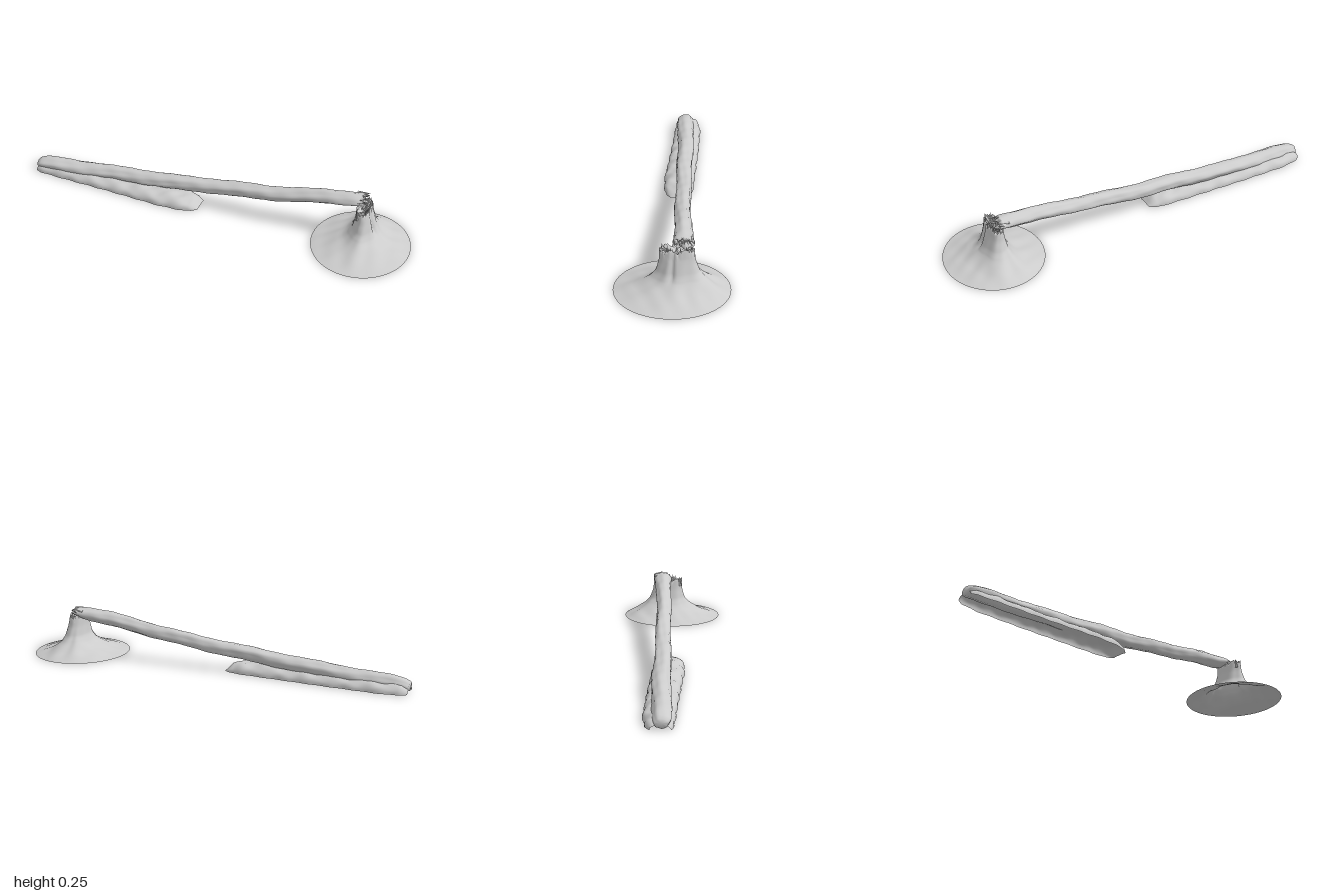
import * as THREE from 'three';

const material = new THREE.MeshStandardMaterial({ color: 0xcccccc, side: THREE.DoubleSide });

// Small seeded generator for the broken edges
function seeded(seed) {
  let s = seed;
  return () => ((s = (s * 16807) % 2147483647) / 2147483647);
}

// Linear lookup of a row in a table sorted by its first column
function sample(rows, t) {
  let i = 0;
  while (i < rows.length - 2 && t > rows[i + 1][0]) i++;
  const k = THREE.MathUtils.clamp((t - rows[i][0]) / (rows[i + 1][0] - rows[i][0]), 0, 1);
  return rows[i].map((v, j) => v + (rows[i + 1][j] - v) * k);
}

// Skin a grid of points: point(i, j) for rows 0..n, closed around m columns when wrapped
function loft(name, n, m, point, wrap = true) {
  const pos = [], index = [], cols = wrap ? m : m + 1;
  for (let i = 0; i <= n; i++) for (let j = 0; j < cols; j++) pos.push(...point(i, j));
  for (let i = 0; i < n; i++) for (let j = 0; j < m; j++) {
    const a = i * cols + j, b = i * cols + ((j + 1) % cols), c = a + cols, d = b + cols;
    index.push(a, c, b, b, c, d);
  }
  const g = new THREE.BufferGeometry();
  g.setAttribute('position', new THREE.Float32BufferAttribute(pos, 3));
  g.setIndex(index);
  g.computeVertexNormals();
  const mesh = new THREE.Mesh(g, material);
  mesh.name = name;
  return mesh;
}

// Rooted stump: height, left x, right x, front z, back z
function stump() {
  const rows = [
    [0, 0.515, 0.995, 0.262, -0.262], [0.012, 0.56, 0.95, 0.215, -0.24],
    [0.03, 0.62, 0.90, 0.165, -0.208], [0.05, 0.66, 0.86, 0.122, -0.178],
    [0.07, 0.685, 0.835, 0.094, -0.15], [0.1, 0.706, 0.818, 0.07, -0.124],
    [0.15, 0.716, 0.802, 0.056, -0.106], [0.2, 0.72, 0.786, 0.053, -0.101],
  ];
  const n = 26, m = 72, rim = 22, rnd = seeded(41);
  const jag = Array.from({ length: m }, () => rnd() * 0.022 - 0.006);
  return loft('stump', n, m, (i, j) => {
    const a = -(j / m) * Math.PI * 2, c = Math.cos(a), s = Math.sin(a);
    const t = Math.min(i / rim, 1), h = 0.2 * Math.pow(t, 1.35);
    const r = sample(rows, h);
    const cx = 0.757, cz = -0.025 * Math.min(h / 0.05, 1);
    // Root flutes, and a deep split on the side away from the trunk
    const flute = Math.sin(a * 5 + 0.7) * 0.05 + Math.sin(a * 9 + h * 30) * 0.03;
    const fade = Math.min(t * 2.5, 1) * (1 - 0.6 * t);
    const split = 0.22 * Math.exp(-(((a + 6.0) / 0.13) ** 2)) * THREE.MathUtils.smoothstep(h, 0.05, 0.1);
    const inward = i > rim ? 1 - (i - rim) / (n - rim) : 1;
    const k = (1 + flute * fade - split) * inward;
    const x = cx + c * k * (c > 0 ? r[2] - cx : cx - r[1]);
    const z = cz + s * k * (s > 0 ? r[3] - cz : cz - r[4]);
    const lump = Math.sin(x * 47 + z * 30) * Math.sin(z * 41 - x * 13) * 0.005 * Math.min(t * 4, 1) * (1 - t);
    const y = i > rim ? 0.2 - (1 - inward) * 0.03 + jag[(j * 5) % m] * 0.5
      : h + lump + (i >= rim - 1 ? jag[j] : 0);
    return [x, Math.max(0, y), z];
  });
}

// Fallen trunk: x, centre y, centre z, half height, half depth
function trunk() {
  const rows = [
    [-1, 0.029, -0.004, 0.022, 0.03], [-0.97, 0.034, -0.005, 0.03, 0.04],
    [-0.9, 0.039, -0.008, 0.034, 0.043], [-0.6, 0.061, -0.016, 0.034, 0.042],
    [-0.35, 0.081, -0.02, 0.034, 0.041], [0, 0.117, -0.025, 0.035, 0.038],
    [0.3, 0.156, -0.033, 0.035, 0.037], [0.55, 0.198, -0.04, 0.035, 0.038],
    [0.66, 0.213, -0.045, 0.032, 0.042], [0.72, 0.222, -0.05, 0.026, 0.047],
    [0.75, 0.227, -0.055, 0.02, 0.045],
  ];
  const n = 82, m = 28, rnd = seeded(7);
  const jag = Array.from({ length: m }, () => rnd() * 0.05 - 0.03);
  return loft('fallenTrunk', n, m, (i, j) => {
    const u = THREE.MathUtils.clamp((i - 1) / (n - 2), 0, 1);
    const a = (j / m) * Math.PI * 2, r = sample(rows, -1 + 1.75 * u);
    // Long bark ridges with slow bends
    const bark = 1 + 0.045 * Math.sin(a * 4 + u * 9) + 0.035 * Math.sin(a * 7 - u * 23)
      + 0.025 * Math.sin(u * 97 + a * 2);
    const k = i === 0 ? 0 : i === n ? 0.15 : bark;
    const x = r[0] + (i === n - 1 ? jag[j] : i === n ? -0.04 : 0);
    const y = r[1] + Math.sin(a) * r[3] * k + Math.sin(u * 31) * 0.002;
    return [x, Math.max(0.001, y), r[2] + Math.cos(a) * r[4] * k + Math.sin(u * 19) * 0.003];
  });
}

// Low bank of earth: x, front z, back z, crest height
function bank() {
  const rows = [
    [-1, 0.035, -0.055, 0.02], [-0.97, 0.046, -0.075, 0.042], [-0.88, 0.052, -0.09, 0.048],
    [-0.6, 0.064, -0.085, 0.047], [-0.4, 0.076, -0.077, 0.05], [-0.27, 0.084, -0.073, 0.051],
    [-0.16, 0.078, -0.067, 0.049], [-0.11, 0.066, -0.06, 0.034], [-0.08, 0.04, -0.04, 0.004],
  ];
  const n = 64, m = 24;
  return loft('earthBank', n, m, (i, j) => {
    const r = sample(rows, -1 + (0.92 * i) / n), a = (j / m) * Math.PI;
    const mid = (r[1] + r[2]) / 2, half = (r[1] - r[2]) / 2;
    const lump = 1 + 0.07 * Math.sin(i * 0.55 + a * 3) + 0.05 * Math.sin(i * 1.1 - a * 5);
    const y = Math.pow(Math.sin(a), 0.75) * r[3] * lump;
    return [r[0], j === m ? 0 : y, mid + Math.cos(a) * half * (1 + 0.03 * Math.sin(i * 0.8))];
  }, false);
}

// Thin broken fibres standing on the stump and sticking out of the trunk end
function splinters() {
  const group = new THREE.Group(), rnd = seeded(19);
  group.name = 'splinters';
  const add = (x, y, z, height, radius, rx, rz) => {
    const g = new THREE.ConeGeometry(radius, height, 5).translate(0, height / 2, 0).scale(0.6, 1, 1);
    const mesh = new THREE.Mesh(g, material);
    mesh.position.set(x, y, z);
    mesh.rotation.set(rx, 0, rz);
    mesh.name = 'splinter';
    group.add(mesh);
  };
  for (let i = 0; i < 13; i++) {
    const z = 0.046 - i * 0.0115;
    add(0.738 + rnd() * 0.045, 0.17, z, 0.04 + rnd() * 0.026, 0.009, (rnd() - 0.5) * 0.3, (rnd() - 0.5) * 0.4);
  }
  for (let i = 0; i < 7; i++)
    add(0.7, 0.215 + i * 0.003, -0.022 - i * 0.011, 0.045 + rnd() * 0.025, 0.009, 0, -1.5 + rnd() * 0.15);
  return group;
}

export function createModel() {
  const model = new THREE.Group();
  model.name = 'fallenTree';
  model.add(stump(), trunk(), bank(), splinters());
  return model;
}
